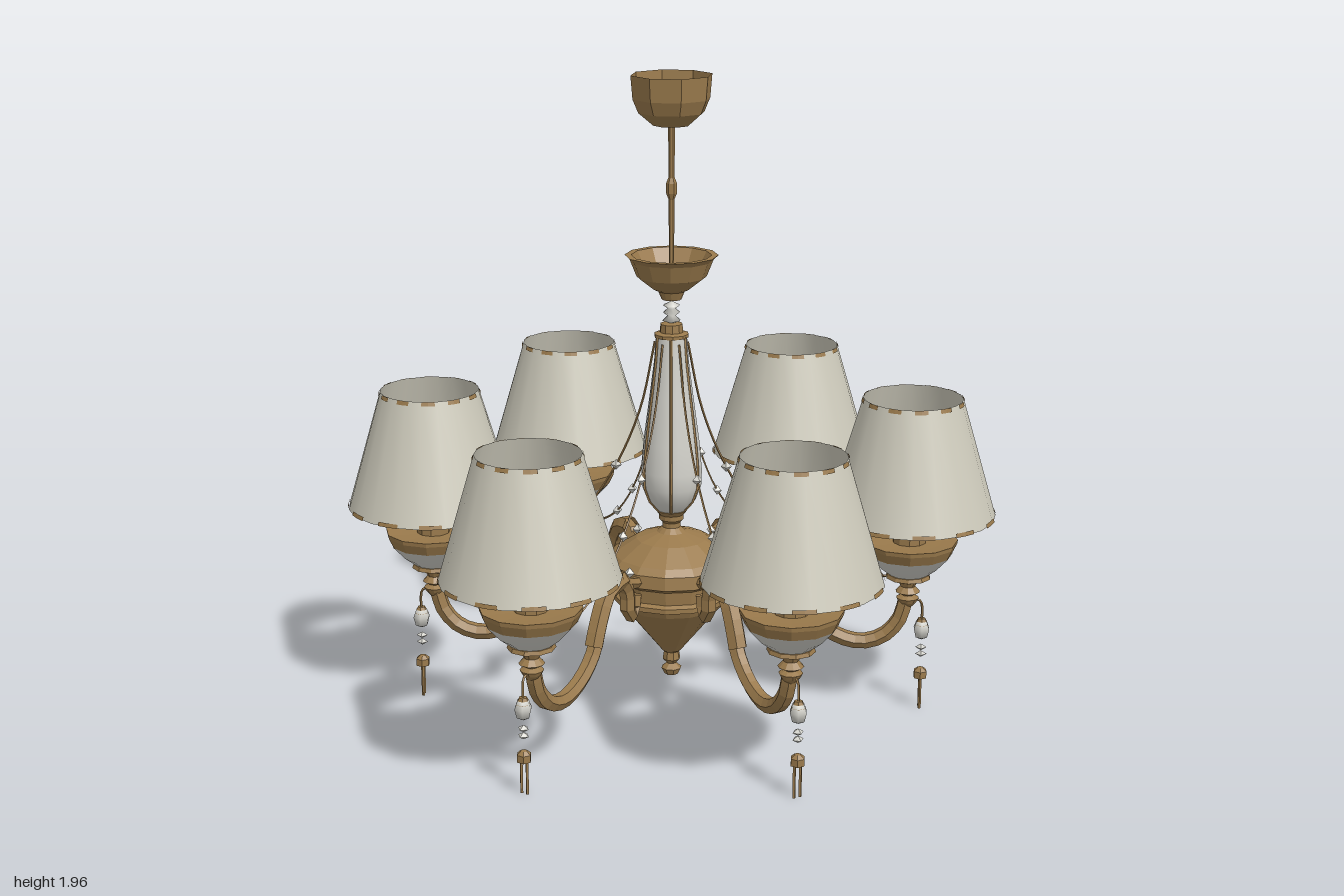
import * as THREE from 'three';

const material = (name, color) => {
  const m = new THREE.MeshStandardMaterial({ color, side: THREE.DoubleSide });
  m.name = name;
  return m;
};

export function createModel() {
  const brass = material('brass', 0x9a7a4c);
  const fabric = material('shade fabric', 0xcdcabb);
  const glass = material('pale glass', 0xd2d1ca);
  brass.flatShading = true;

  const add = (parent, name, geometry, mat, x = 0, y = 0, z = 0) => {
    const mesh = new THREE.Mesh(geometry, mat);
    mesh.name = name;
    mesh.position.set(x, y, z);
    parent.add(mesh);
    return mesh;
  };
  // profiles are [radius, height] pairs from bottom to top
  const lathe = (profile, sides) =>
    new THREE.LatheGeometry(profile.map(p => new THREE.Vector2(...p)), sides);
  const curve = pts => new THREE.CatmullRomCurve3(pts.map(p => new THREE.Vector3(p[0], p[1], p[2] || 0)));
  const tube = (pts, steps, radius, sides) => new THREE.TubeGeometry(curve(pts), steps, radius, sides);

  const model = new THREE.Group();
  model.name = 'chandelier';
  const hubZ = -0.01;
  const column = new THREE.Group();
  column.name = 'column';
  column.position.z = hubZ;
  model.add(column);

  // Ceiling canopy, rod and the dish below it
  add(column, 'canopy', lathe([[0, 1.81], [0.055, 1.812], [0.1, 1.85], [0.117, 1.89], [0.123, 1.96]], 8), brass);
  add(column, 'rod', new THREE.CylinderGeometry(0.01, 0.007, 0.52, 6), brass, 0, 1.56);
  add(column, 'rodKnot', lathe([[0.008, 1.59], [0.016, 1.61], [0.016, 1.64], [0.008, 1.66]], 6), brass);
  add(column, 'dish', lathe([[0, 1.285], [0.03, 1.29], [0.04, 1.315], [0.06, 1.325], [0.105, 1.36], [0.125, 1.41], [0.14, 1.425], [0.12, 1.425], [0.09, 1.37], [0, 1.33]], 12), brass);
  add(column, 'glassBeads', lathe([[0, 1.215], [0.028, 1.225], [0.012, 1.24], [0.026, 1.25], [0.012, 1.262], [0.026, 1.272], [0, 1.285]], 8), glass);
  add(column, 'vaseCap', lathe([[0.053, 1.175], [0.053, 1.185], [0.036, 1.19], [0.034, 1.215], [0, 1.22]], 10), brass);

  // Glass vase with brass ribs
  const vase = [[0.045, 0.63], [0.075, 0.665], [0.092, 0.71], [0.094, 0.76], [0.086, 0.85], [0.066, 1.0], [0.053, 1.1], [0.047, 1.18]];
  add(column, 'vase', lathe(vase, 16), glass);
  for (let i = 0; i < 6; i++) {
    const rib = add(column, 'vaseRib', tube(vase.map(p => [p[0], p[1]]), 12, 0.0045, 4), brass);
    rib.rotation.y = i * Math.PI / 3;
  }

  // Hub with neck, dome, bands, cone and finial
  add(column, 'hub', lathe([
    [0.03, 0.17], [0.05, 0.195], [0.16, 0.33], [0.17, 0.35], [0.19, 0.355], [0.19, 0.37],
    [0.175, 0.378], [0.18, 0.42], [0.205, 0.435], [0.2, 0.475], [0.18, 0.495], [0.11, 0.54], [0.045, 0.56],
    [0.028, 0.575], [0.028, 0.59], [0.038, 0.6], [0.038, 0.615], [0.05, 0.63], [0, 0.632]], 14), brass);
  add(column, 'finial', lathe([[0, 0.085], [0.022, 0.09], [0.032, 0.11], [0.014, 0.125], [0.028, 0.14], [0.024, 0.165], [0.032, 0.172], [0, 0.175]], 8), brass);

  // Shared branch geometry; each branch runs outward along its own +x
  const armGeo = tube([[0.21, 0.42], [0.225, 0.36], [0.245, 0.37], [0.25, 0.44], [0.285, 0.485], [0.34, 0.475],
    [0.385, 0.42], [0.43, 0.31], [0.5, 0.245], [0.59, 0.215], [0.665, 0.235], [0.715, 0.29], [0.735, 0.36]], 26, 0.025, 6);
  const linkGeo = tube([[0.15, 0.45], [0.21, 0.455], [0.27, 0.475]], 5, 0.018, 6);
  const leafGeo = tube([[0.28, 0.49], [0.35, 0.475], [0.4, 0.4], [0.43, 0.325]], 6, 0.03, 6);
  const chainPts = [[0.05, 1.16], [0.095, 0.95], [0.17, 0.77], [0.27, 0.62], [0.38, 0.515], [0.5, 0.45], [0.6, 0.43], [0.7, 0.432]];
  const chainGeo = tube(chainPts, 24, 0.0035, 4);
  const beadGeo = new THREE.OctahedronGeometry(0.017);
  const stemGeo = lathe([[0.015, 0.335], [0.028, 0.35], [0.035, 0.363], [0.018, 0.372], [0.038, 0.383], [0.022, 0.4],
    [0.03, 0.415], [0.07, 0.43], [0.066, 0.442], [0, 0.445]], 10);
  const cupGeo = lathe([[0.055, 0.437], [0.095, 0.468], [0.133, 0.51]], 12);
  const rimGeo = lathe([[0.13, 0.507], [0.146, 0.54], [0.148, 0.553], [0.1, 0.548], [0, 0.54]], 12);
  const candleGeo = lathe([[0.051, 0.54], [0.051, 0.7], [0, 0.7]], 10);
  const bulbGeo = lathe([[0.02, 0.7], [0.042, 0.74], [0.036, 0.79], [0.015, 0.825], [0, 0.83]], 8);
  const shadeGeo = lathe([[0.258, 0.635], [0.15, 1.0]], 20);
  const shadeRadius = y => 0.258 - 0.108 * (y - 0.635) / 0.365;
  const trimGeo = (y0, y1, start) => new THREE.CylinderGeometry(
    shadeRadius(y1) + 0.002, shadeRadius(y0) + 0.002, y1 - y0, 2, 1, true, start, Math.PI / 12);
  const hookGeo = tube([[0, 0.36], [0.04, 0.352], [0.046, 0.33], [0.046, 0.29]], 8, 0.004, 4);
  const crystalGeo = lathe([[0, 0.225], [0.02, 0.235], [0.027, 0.262], [0.018, 0.285], [0, 0.295]], 6);
  const smallCrystalGeo = new THREE.OctahedronGeometry(0.018);
  const capGeo = lathe([[0.022, 0.1], [0.022, 0.122], [0.01, 0.132], [0, 0.133]], 6);
  const strandGeo = new THREE.CylinderGeometry(0.005, 0.005, 0.102, 4);

  const lamps = [[0.02, -0.74], [0.65, -0.34], [0.63, 0.38], [-0.005, 0.74], [-0.65, 0.34], [-0.63, -0.39]];
  lamps.forEach(([x, z]) => {
    const dz = z - hubZ;
    const reach = Math.hypot(x, dz);
    const branch = new THREE.Group();
    branch.name = 'branch';
    branch.position.z = hubZ;
    branch.rotation.y = -Math.atan2(dz, x);
    model.add(branch);

    // Scrolled arm and draped bead chain
    const span = new THREE.Group();
    span.name = 'arm';
    span.scale.x = reach / 0.74;
    branch.add(span);
    add(span, 'armTube', armGeo, brass);
    add(span, 'armLink', linkGeo, brass);
    add(span, 'armLeaf', leafGeo, brass);
    add(span, 'armBead', beadGeo, glass, 0.235, 0.495);
    add(span, 'chain', chainGeo, brass);
    [2, 3, 4].forEach(i => add(span, 'chainBead', beadGeo, glass, chainPts[i][0], chainPts[i][1]));

    // Cup, candle tube, bulb and shade
    const lamp = new THREE.Group();
    lamp.name = 'lamp';
    lamp.position.x = reach;
    branch.add(lamp);
    add(lamp, 'stem', stemGeo, brass);
    add(lamp, 'glassCup', cupGeo, glass);
    add(lamp, 'cupRim', rimGeo, brass);
    add(lamp, 'candleTube', candleGeo, brass);
    add(lamp, 'bulb', bulbGeo, glass);
    add(lamp, 'shade', shadeGeo, fabric);
    for (let i = 0; i < 12; i++) {
      const start = i * Math.PI / 6;
      add(lamp, 'lowerTrim', trimGeo(0.635, 0.647, start), brass, 0, 0.641);
      add(lamp, 'upperTrim', trimGeo(0.988, 1.0, start), brass, 0, 0.994);
    }

    // Hanging crystal drop
    const drop = new THREE.Group();
    drop.name = 'pendant';
    lamp.add(drop);
    add(drop, 'hook', hookGeo, brass);
    add(drop, 'crystal', crystalGeo, glass, 0.046);
    add(drop, 'crystalCap', new THREE.CylinderGeometry(0.012, 0.022, 0.02, 6), brass, 0.046, 0.285);
    [0.2, 0.178].forEach(y => add(drop, 'smallCrystal', smallCrystalGeo, glass, 0.046, y).scale.y = 0.6);
    add(drop, 'dropCap', capGeo, brass, 0.046);
    [-1, 1].forEach(s => add(drop, 'dropStrand', strandGeo, brass, 0.046, 0.051, s * 0.01));
  });

  return model;
}
